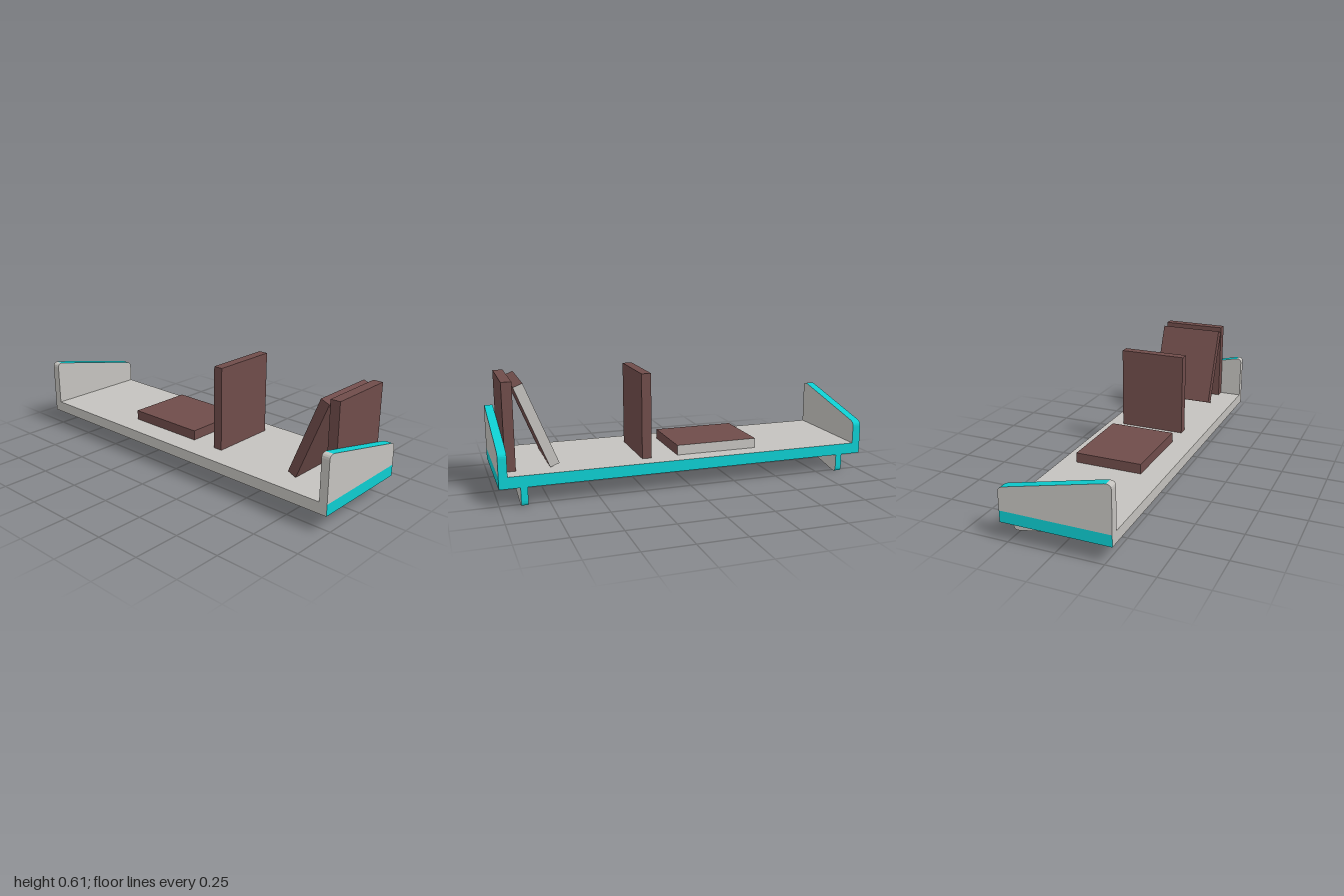
import * as THREE from 'three';

const grey = new THREE.MeshStandardMaterial({ name: 'pale grey', color: 0xc4c2be });
const teal = new THREE.MeshStandardMaterial({ name: 'turquoise edging', color: 0x0ecdd0 });
const brown = new THREE.MeshStandardMaterial({ name: 'brown cover', color: 0x6f4c4a });

const BACK = -0.29, FRONT = 0.287, BOTTOM = 0.1, TOP = 0.16;

// Box given by its lower and upper corner; materials in order +x -x +y -y +z -z
function box(name, min, max, materials) {
  const size = max.map((v, i) => v - min[i]);
  const mesh = new THREE.Mesh(new THREE.BoxGeometry(...size), materials);
  mesh.position.set(...max.map((v, i) => (v + min[i]) / 2));
  mesh.name = name;
  return mesh;
}

// Upright plate with grey faces and turquoise rim; the rim at the back corner stays grey
function plate(name, shape, zMin, depth) {
  const geo = new THREE.ExtrudeGeometry(shape, { depth, bevelEnabled: false, curveSegments: 5 });
  const pos = geo.attributes.position;
  const caps = geo.groups[0].count;
  geo.clearGroups();
  geo.addGroup(0, caps, 0);
  for (let i = caps; i < pos.count; i += 3) {
    const x = (pos.getX(i) + pos.getX(i + 1) + pos.getX(i + 2)) / 3;
    geo.addGroup(i, 3, x < -0.26 ? 0 : 1);
  }
  const mesh = new THREE.Mesh(geo, [grey, teal]);
  mesh.position.z = zMin;
  mesh.name = name;
  return mesh;
}

// Sloping end panel with rounded upper corners
function endPanelShape() {
  const s = new THREE.Shape();
  s.moveTo(BACK, TOP);
  s.lineTo(FRONT, TOP);
  s.lineTo(FRONT, 0.255);
  s.quadraticCurveTo(FRONT, 0.279, 0.26, 0.286);
  s.lineTo(-0.252, 0.402);
  s.bezierCurveTo(-0.272, 0.406, BACK, 0.402, BACK, 0.38);
  s.closePath();
  return s;
}

// Tapered bracket under the board, rounded at its lowest corner
function bracketShape() {
  const s = new THREE.Shape();
  s.moveTo(BACK, BOTTOM);
  s.lineTo(0.255, 0.003);
  s.bezierCurveTo(0.272, 0, FRONT, 0.006, FRONT, 0.03);
  s.lineTo(FRONT, BOTTOM);
  s.closePath();
  return s;
}

export function createModel() {
  const model = new THREE.Group();
  model.name = 'bookShelf';

  model.add(box('board', [BACK, BOTTOM, -1], [FRONT, TOP, 1], [teal, grey, grey, grey, teal, teal]));

  model.add(plate('frontEndPanel', endPanelShape(), 0.956, 0.044));
  model.add(plate('backEndPanel', endPanelShape(), -1, 0.046));
  model.add(plate('frontBracket', bracketShape(), 0.861, 0.035));
  model.add(plate('backBracket', bracketShape(), -0.888, 0.035));

  // Books: the flat and leaning ones show their pages on the +x side
  const x0 = -0.165, x1 = 0.2;
  const pages = [grey, brown, brown, brown, brown, brown];
  model.add(box('endBook', [x0, TOP, 0.904], [x1, 0.61, 0.956], brown));
  model.add(box('standingBook', [x0, TOP, 0.2], [x1, 0.61, 0.251], brown));
  model.add(box('flatBook', [x0, 0.162, -0.393], [x1, 0.215, 0.057], pages));

  const leaning = box('leaningBook', [x0, 0.156, 0.767], [x1, 0.606, 0.818], pages);
  leaning.rotation.x = 0.38;
  model.add(leaning);

  return model;
}
